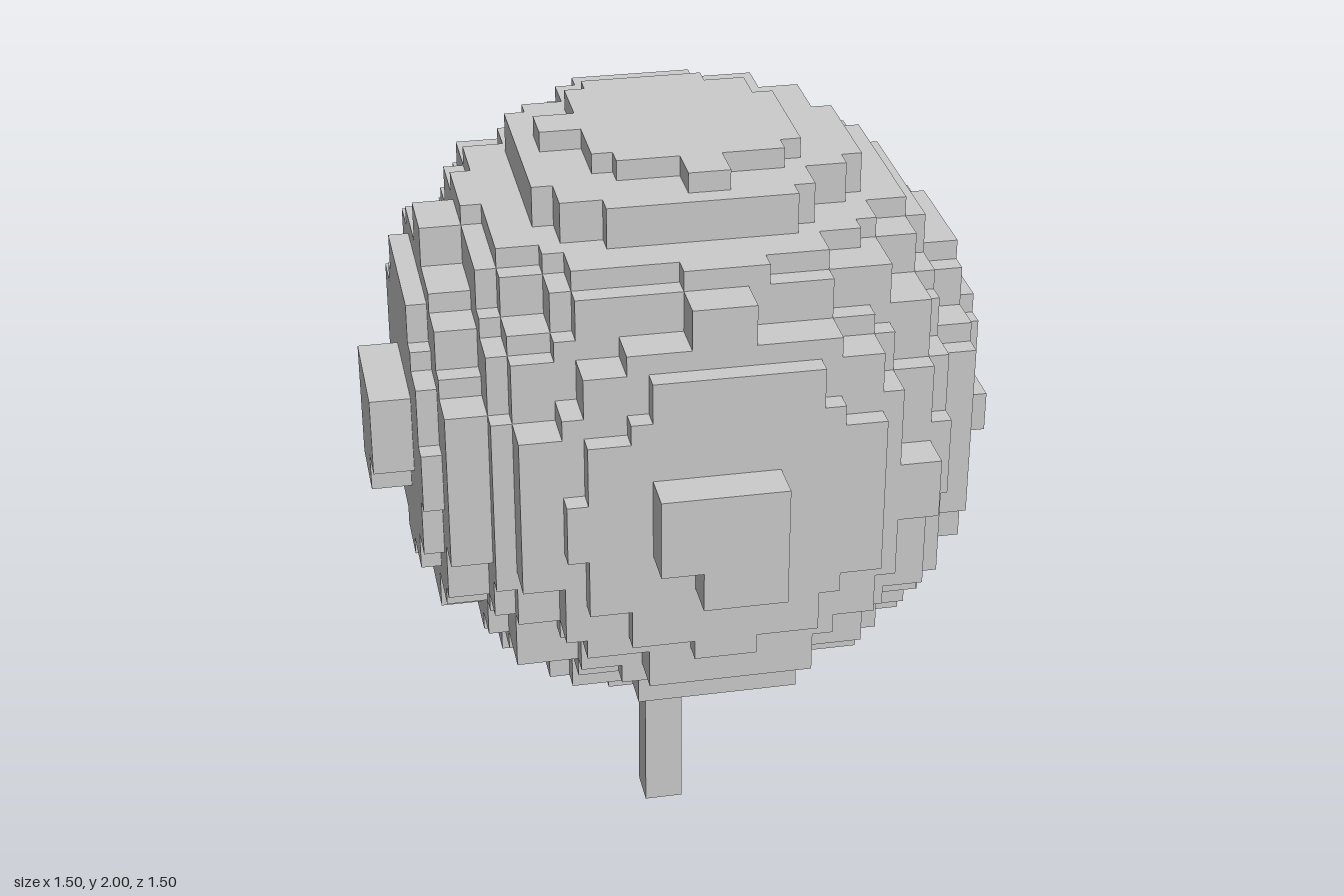
import * as THREE from 'three';

const R = 10; // ball radius in cells

// Cell edges snapped to a 0.05 step, giving alternating 0.1 and 0.05 wide cells
const edge = (k) => Math.ceil(k * 1.5) / 20;

// Is a cell part of the ball? (lowest layer is cut flat where the stem joins)
function filled([i, j, k]) {
  if (j < -9) return false;
  return (i + 0.25) ** 2 + (j + 0.25) ** 2 + (k + 0.25) ** 2 < R * R;
}

// Outer skin of the blocky ball: one quad per exposed cell face
function ballGeometry() {
  const positions = [];
  const indices = [];

  function addFace(cell, axis, side) {
    const b = (axis + 1) % 3;
    const c = (axis + 2) % 3;
    const first = positions.length / 3;
    for (const [p, q] of [[0, 0], [1, 0], [1, 1], [0, 1]]) {
      const corner = [...cell];
      corner[axis] += side;
      corner[b] += p;
      corner[c] += q;
      // cells count towards the back, so z is mirrored
      positions.push(edge(corner[0]), 1.25 + edge(corner[1]), -edge(corner[2]));
    }
    const order = side ? [0, 2, 1, 0, 3, 2] : [0, 1, 2, 0, 2, 3];
    indices.push(...order.map((n) => first + n));
  }

  for (let i = -R; i < R; i++) {
    for (let j = -R; j < R; j++) {
      for (let k = -R; k < R; k++) {
        const cell = [i, j, k];
        if (!filled(cell)) continue;
        for (let axis = 0; axis < 3; axis++) {
          for (const side of [0, 1]) {
            const next = [...cell];
            next[axis] += side ? 1 : -1;
            if (!filled(next)) addFace(cell, axis, side);
          }
        }
      }
    }
  }

  const geometry = new THREE.BufferGeometry();
  geometry.setAttribute('position', new THREE.Float32BufferAttribute(positions, 3));
  geometry.setIndex(indices);
  geometry.computeVertexNormals();
  return geometry;
}

export function createModel() {
  const group = new THREE.Group();
  const material = new THREE.MeshStandardMaterial({ color: 0xcccccc, flatShading: true });

  // Blocky round crown
  const ball = new THREE.Mesh(ballGeometry(), material);
  ball.name = 'ball';
  group.add(ball);

  // Square stem, set slightly behind the centre
  const stem = new THREE.Mesh(new THREE.BoxGeometry(0.1, 0.6, 0.1), material);
  stem.name = 'stem';
  stem.position.set(0, 0.3, -0.05);
  group.add(stem);

  return group;
}
